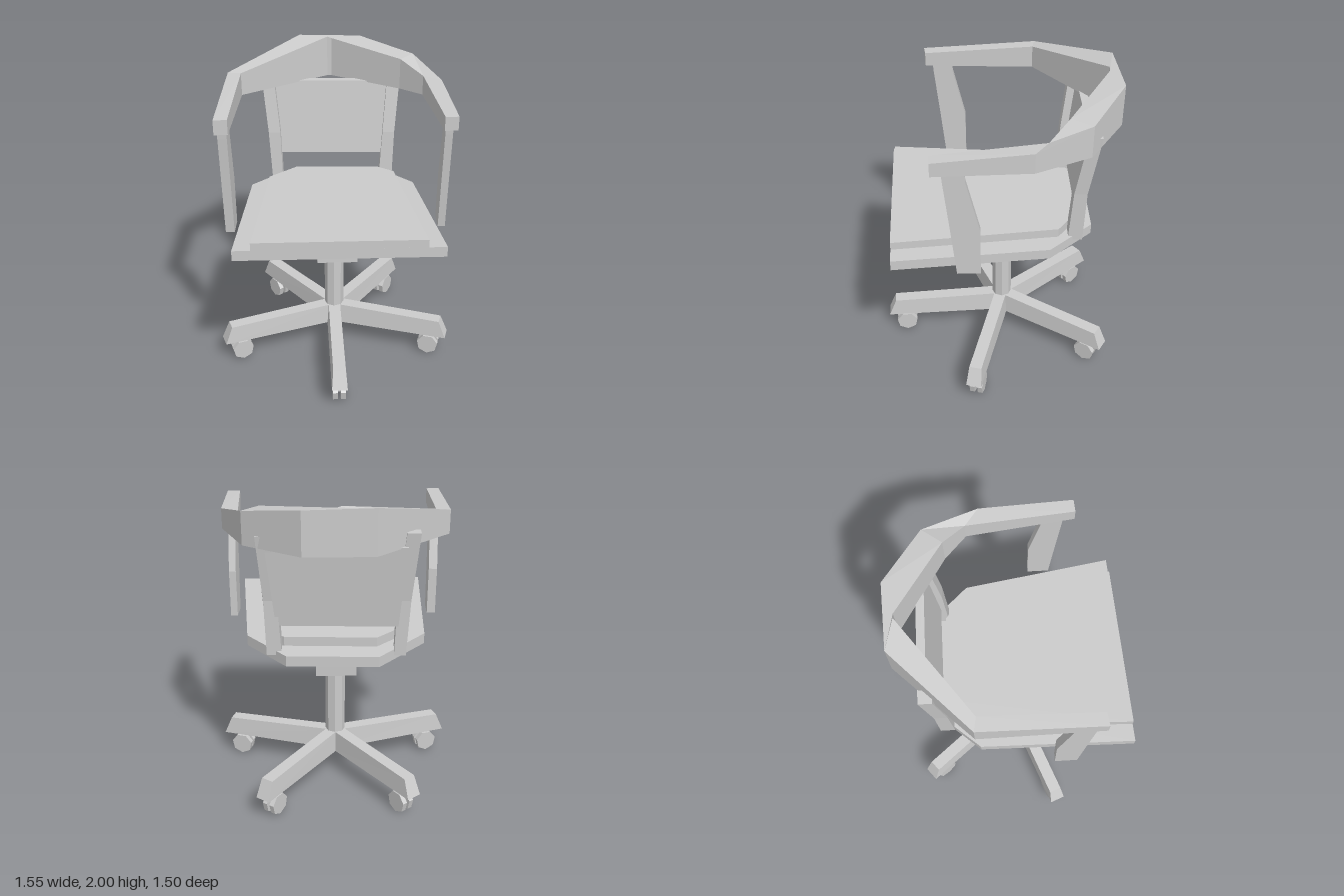
import * as THREE from 'three';

const material = new THREE.MeshStandardMaterial({ color: 0xcccccc, flatShading: true, side: THREE.DoubleSide });

function add(parent, geometry, name) {
  const mesh = new THREE.Mesh(geometry, material);
  mesh.name = name;
  parent.add(mesh);
  return mesh;
}

// Closed solid through a list of rings, each with the same number of [x, y, z] corners
function loft(rings) {
  const tris = [];
  const n = rings[0].length;
  for (let r = 0; r < rings.length - 1; r++) {
    for (let i = 0; i < n; i++) {
      const j = (i + 1) % n;
      const [a, b, c, d] = [rings[r][i], rings[r][j], rings[r + 1][j], rings[r + 1][i]];
      tris.push([a, b, c], [a, c, d]);
    }
  }
  const last = rings[rings.length - 1];
  for (let i = 1; i < n - 1; i++) {
    tris.push([rings[0][0], rings[0][i + 1], rings[0][i]], [last[0], last[i], last[i + 1]]);
  }
  // Turn the faces outward when the enclosed volume comes out negative
  let volume = 0;
  for (const [a, b, c] of tris) {
    volume += new THREE.Vector3(...a).dot(new THREE.Vector3(...b).cross(new THREE.Vector3(...c)));
  }
  if (volume < 0) tris.forEach((t) => t.reverse());
  const geometry = new THREE.BufferGeometry();
  geometry.setAttribute('position', new THREE.Float32BufferAttribute(tris.flat(2), 3));
  geometry.computeVertexNormals();
  return geometry;
}

// Flat slab from an [x, z] outline; its height follows a gentle rearward slope
function slab(outline, bottom, top, slope) {
  return loft([bottom, top].map((y) => outline.map(([x, z]) => [x, y + slope * z, z])));
}

// Upright post from levels of [y, xMin, xMax, zMin, zMax]
function post(levels) {
  return loft(levels.map(([y, x0, x1, z0, z1]) => [[x0, y, z0], [x1, y, z0], [x1, y, z1], [x0, y, z1]]));
}

function makeBase() {
  const base = new THREE.Group();
  base.name = 'base';
  base.position.set(-0.01, 0, -0.05);

  for (let i = 0; i < 5; i++) {
    const arm = new THREE.Group();
    arm.name = 'baseArm';
    arm.rotation.y = -THREE.MathUtils.degToRad(87 + 72 * i);
    base.add(arm);

    // Tapered leg with a slanted tip
    add(arm, loft([[0, 0, 0.29], [0.8, 0.75, 0.27]].map(([low, high, top]) => [
      [low, 0.15, -0.05], [low, 0.15, 0.05], [high, top, 0.04], [high, top, -0.04],
    ])), 'leg');

    // Twin-wheel caster
    for (const side of [-1, 1]) {
      const wheel = add(arm, new THREE.CylinderGeometry(0.072, 0.072, 0.032, 7), 'casterWheel');
      wheel.rotation.x = Math.PI / 2;
      wheel.position.set(0.68, 0.07, side * 0.026);
    }
    add(arm, new THREE.BoxGeometry(0.05, 0.1, 0.03), 'casterStem').position.set(0.68, 0.11, 0);
  }

  add(base, new THREE.CylinderGeometry(0.065, 0.065, 0.62, 8), 'column').position.y = 0.46;
  add(base, new THREE.CylinderGeometry(0.03, 0.03, 0.2, 6), 'gasLift').position.y = 0.82;
  return base;
}

function makeSeat() {
  const seat = new THREE.Group();
  seat.name = 'seat';

  // Tilt mechanism under the seat
  const box = add(seat, new THREE.BoxGeometry(0.25, 0.155, 0.83), 'mechanism');
  box.position.set(-0.005, 0.95, 0);
  box.rotation.set(-0.036, 0.046, 0);

  add(seat, slab([[-0.6, 0.69], [0.66, 0.63], [0.53, -0.32], [0.27, -0.6], [-0.28, -0.6], [-0.57, -0.27]],
    1.034, 1.1, 0.042), 'seatBoard');
  add(seat, slab([[-0.49, 0.685], [0.55, 0.635], [0.4, -0.38], [0.29, -0.46], [-0.27, -0.46], [-0.45, -0.28]],
    1.09, 1.155, 0.035), 'seatPad');
  return seat;
}

function makeBack() {
  const back = new THREE.Group();
  back.name = 'back';

  // Curved arm rail: outer [x, z], inner [x, z], bottom, top
  const stations = [
    [-0.69, 0.45, -0.61, 0.44, 1.75, 1.84],
    [-0.69, -0.28, -0.605, -0.265, 1.735, 1.88],
    [-0.25, -0.73, -0.06, -0.685, 1.73, 2.0],
    [0.16, -0.75, -0.03, -0.685, 1.73, 1.99],
    [0.51, -0.53, 0.42, -0.41, 1.73, 1.93],
    [0.67, -0.2, 0.56, -0.28, 1.735, 1.86],
    [0.71, 0.37, 0.63, 0.375, 1.75, 1.835],
  ];
  add(back, loft(stations.map(([ox, oz, ix, iz, y0, y1]) => [
    [ox, y0, oz], [ox, y1, oz], [ix, y1, iz], [ix, y0, iz],
  ])), 'armRail');

  // Front arm supports
  for (const [x0, x1, dz] of [[-0.68, -0.625, 0.085], [0.645, 0.69, 0]]) {
    add(back, post([
      [1.05, x0, x1, 0.1 + dz, 0.24 + dz],
      [1.36, x0, x1, 0.1 + dz, 0.27 + dz],
      [1.7, x0, x1, 0.18 + dz, 0.305 + dz],
      [1.77, x0, x1, 0.18 + dz, 0.31 + dz],
    ]), 'armSupport');
  }

  // Rear posts, splayed and leaning back
  add(back, post([
    [1.05, -0.44, -0.37, -0.52, -0.43],
    [1.4, -0.46, -0.38, -0.53, -0.45],
    [1.82, -0.5, -0.42, -0.58, -0.5],
  ]), 'rearPost');
  add(back, post([
    [1.05, 0.3, 0.39, -0.53, -0.44],
    [1.4, 0.32, 0.4, -0.54, -0.46],
    [1.8, 0.345, 0.43, -0.6, -0.52],
  ]), 'rearPost');

  // Backrest panel
  add(back, post([
    [1.24, -0.39, 0.33, -0.53, -0.48],
    [1.74, -0.43, 0.38, -0.59, -0.54],
  ]), 'backPanel');
  return back;
}

export function createModel() {
  const chair = new THREE.Group();
  chair.name = 'swivelChair';
  chair.add(makeBase(), makeSeat(), makeBack());
  return chair;
}
